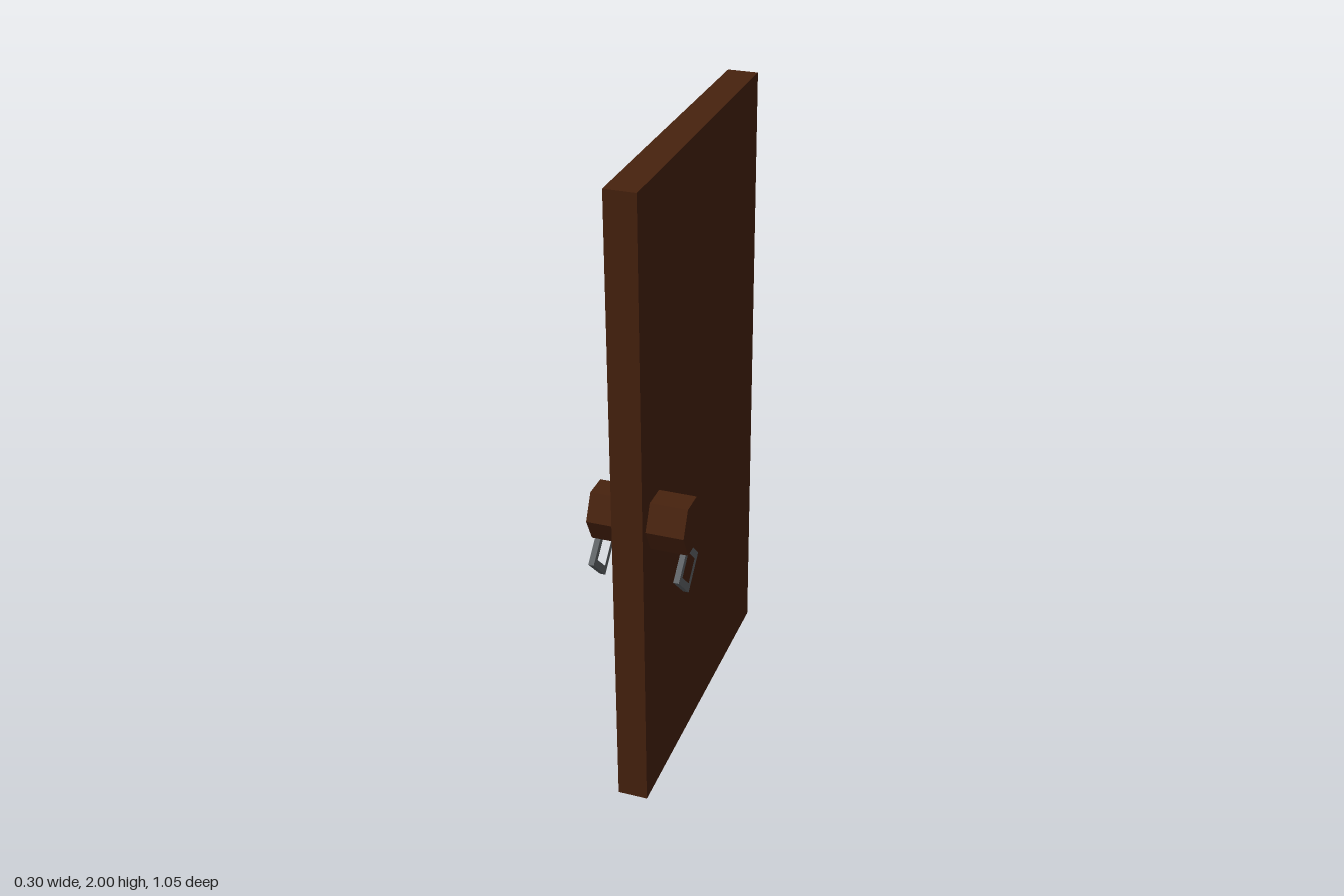
import * as THREE from 'three';

export function createModel() {
  const wood = new THREE.MeshStandardMaterial({ color: 0x47220e });
  wood.name = 'dark wood';
  const iron = new THREE.MeshStandardMaterial({ color: 0x606467 });
  iron.name = 'grey iron';

  const model = new THREE.Group();
  model.name = 'door';
  const HANDLE_Z = 0.422;

  function add(name, geometry, material, x, y, z) {
    const mesh = new THREE.Mesh(geometry, material);
    mesh.name = name;
    mesh.position.set(x, y, z);
    model.add(mesh);
  }

  // Extrudes a polygon given in (z, y) along x, centred on its thickness
  function extrudeAlongX(outer, hole, thickness) {
    const toPoints = (list) => list.map(([z, y]) => new THREE.Vector2(-z, y));
    const shape = new THREE.Shape(toPoints(outer));
    if (hole) shape.holes.push(new THREE.Path(toPoints(hole)));
    const geometry = new THREE.ExtrudeGeometry(shape, { depth: thickness, bevelEnabled: false });
    return geometry.translate(0, 0, -thickness / 2).rotateY(Math.PI / 2);
  }

  const diamond = (r) => [[r, 0], [0, r], [-r, 0], [0, -r]];

  // Door slab
  add('doorPanel', new THREE.BoxGeometry(0.095, 2, 1.046), wood, -0.0145, 1, 0);

  // Six-sided knobs, one on each face
  const r = 0.077;
  const hexagon = [[r, 0], [r / 2, r], [-r / 2, r], [-r, 0], [-r / 2, -r], [r / 2, -r]];
  add('leftKnob', extrudeAlongX(hexagon, null, 0.115), wood, 0.0895, 0.965, HANDLE_Z);
  add('rightKnob', extrudeAlongX(hexagon, null, 0.09), wood, -0.104, 0.965, HANDLE_Z);

  // Diamond pull rings hanging under the knobs
  const ring = extrudeAlongX(diamond(0.086), diamond(0.054), 0.017);
  add('leftRing', ring, iron, 0.127, 0.819, HANDLE_Z);
  add('rightRing', ring, iron, -0.135, 0.824, HANDLE_Z);

  return model;
}
